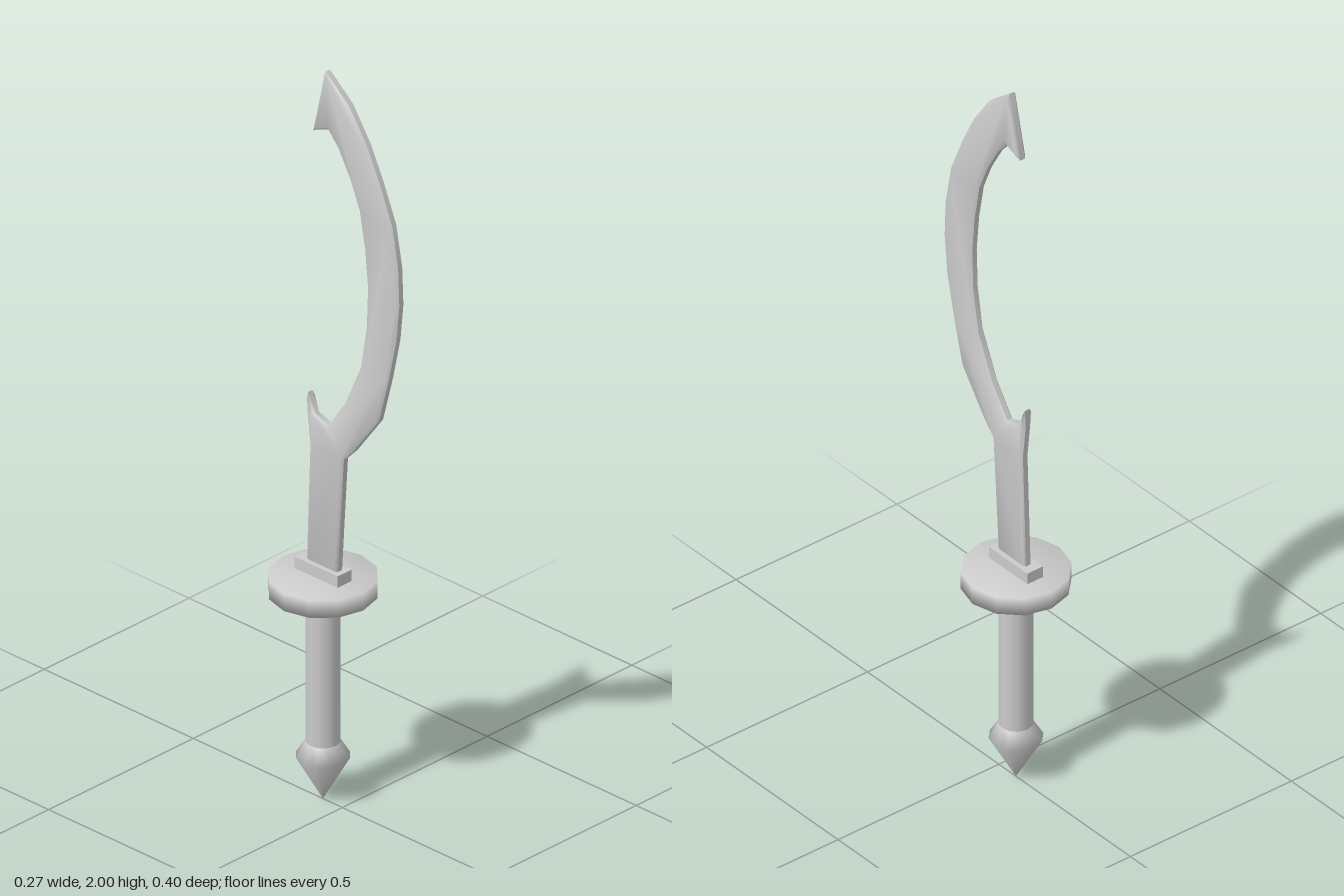
import * as THREE from 'three';
import { toCreasedNormals } from 'three/addons/utils/BufferGeometryUtils.js';

const AXIS_Z = -0.065; // the grip axis sits behind the origin

export function createModel() {
  const group = new THREE.Group();
  const material = new THREE.MeshStandardMaterial({ color: 0xcccccc });

  const add = (name, geometry, y = 0, z = 0) => {
    const mesh = new THREE.Mesh(geometry, material);
    mesh.name = name;
    mesh.position.set(0, y, z);
    group.add(mesh);
  };
  const lathe = (profile) =>
    new THREE.LatheGeometry(profile.map(([r, y]) => new THREE.Vector2(r, y)), 12);

  // Grip with the pointed pommel
  add('grip', lathe([[0.043, 0.15], [0.043, 0.575]]), 0, AXIS_Z);
  add('pommel', lathe([[0, 0], [0.067, 0.12], [0.043, 0.16]]), 0, AXIS_Z);

  // Round guard and the block that holds the blade
  add('guard', lathe([[0, 0.566], [0.135, 0.566], [0.135, 0.614], [0, 0.614]]), 0, AXIS_Z);
  add('collar', new THREE.BoxGeometry(0.048, 0.045, 0.145), 0.6225, AXIS_Z);

  // Blade outline as [z, y]: up the outer edge, round the hooked tip, down the inner edge
  const outer = [
    [-0.008, 0.64], [0.012, 0.96], [0.045, 0.995], [0.13, 1.11], [0.163, 1.235],
    [0.188, 1.35], [0.198, 1.45], [0.194, 1.55], [0.174, 1.66], [0.13, 1.765],
    [0.088, 1.85], [0.03, 1.935], [-0.05, 2.0],
  ];
  const inner = [
    [-0.09, 1.825], [-0.04, 1.845], [-0.005, 1.805], [0.035, 1.735], [0.066, 1.66],
    [0.084, 1.56], [0.093, 1.46], [0.089, 1.35], [0.07, 1.235], [0.016, 1.115],
    [-0.04, 1.035], [-0.085, 1.05], [-0.108, 1.1], [-0.11, 1.05], [-0.1, 0.96], [-0.112, 0.64],
  ];
  const outline = new THREE.Shape([...outer, ...inner].map(([z, y]) => new THREE.Vector2(-z, y)));
  const blade = new THREE.ExtrudeGeometry(outline, {
    depth: 0.014,
    bevelEnabled: true,
    bevelThickness: 0.006,
    bevelSize: 0.008,
    bevelOffset: -0.008,
    bevelSegments: 1,
  });
  blade.translate(0, 0, -0.007);
  blade.rotateY(Math.PI / 2);
  add('blade', toCreasedNormals(blade, 0.9));

  return group;
}
